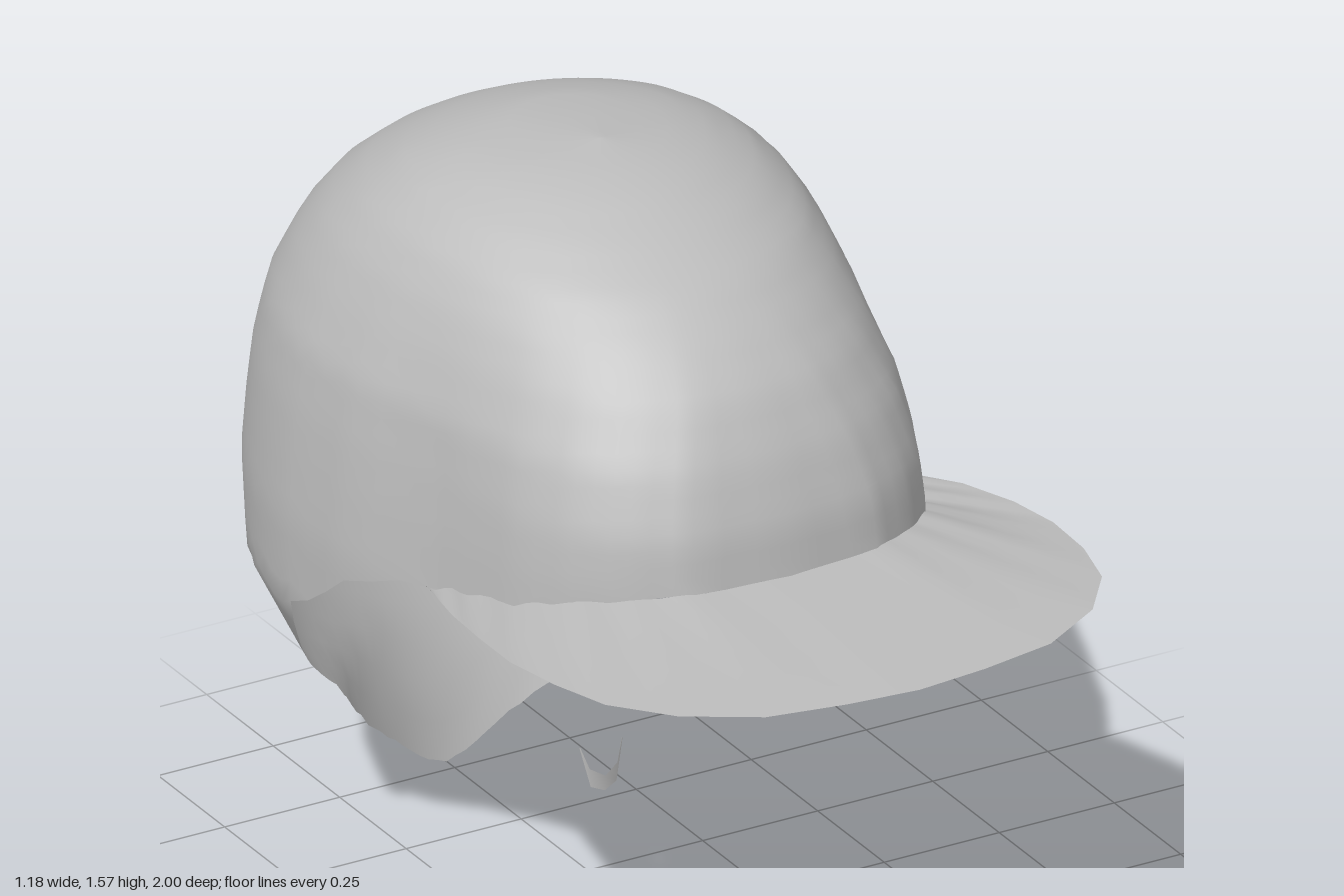
import * as THREE from 'three';
import { mergeVertices } from 'three/addons/utils/BufferGeometryUtils.js';

const { lerp, smoothstep } = THREE.MathUtils;

// Linear lookup in rows sorted by their first number, rising or falling.
function lookup(rows, key) {
  const dir = Math.sign(rows[rows.length - 1][0] - rows[0][0]);
  let i = 0;
  while (i < rows.length - 2 && (key - rows[i + 1][0]) * dir > 0) i++;
  const p = rows[i], q = rows[i + 1];
  const t = Math.min(1, Math.max(0, (key - p[0]) / (q[0] - p[0])));
  return p.map((v, k) => lerp(v, q[k], t));
}

// Point at share t (0 to 1) along an evenly indexed list.
function along(list, t) {
  return lookup(list.map((p, i) => [i / (list.length - 1), ...p]), t).slice(1);
}

// Crown sections: height, half width, front z, back z, z of the widest place
const sections = [
  [1.565, 0, -0.2, -0.2, -0.2],
  [1.55, 0.15, -0.08, -0.42, -0.24],
  [1.53, 0.24, 0, -0.5, -0.27],
  [1.49, 0.33, 0.1, -0.61, -0.29],
  [1.43, 0.4, 0.22, -0.72, -0.31],
  [1.36, 0.45, 0.31, -0.81, -0.34],
  [1.28, 0.49, 0.39, -0.88, -0.36],
  [1.17, 0.535, 0.455, -0.94, -0.37],
  [1.05, 0.555, 0.5, -0.975, -0.38],
  [0.95, 0.565, 0.515, -0.99, -0.38],
  [0.82, 0.575, 0.515, -1, -0.38],
  [0.64, 0.57, 0.515, -0.98, -0.38],
  [0.42, 0.46, 0.515, -0.89, -0.38],
  [0.3, 0.375, 0.515, -0.84, -0.38],
  [0.15, 0.34, 0.515, -0.8, -0.38],
  [0, 0.3, 0.515, -0.78, -0.38],
];

// Front half of a low section: share of the length, share of the half width
const frontCurve = [[0, 1], [0.2, 0.975], [0.43, 0.86], [0.54, 0.825], [0.69, 0.775],
  [0.82, 0.68], [0.91, 0.54], [0.98, 0.35], [1, 0]];

// Lower edge of the crown: angle from the back, height
const rim = [[0, 0], [0.17, 0.02], [0.63, 0.15], [1.02, 0.3], [1.27, 0.42], [1.45, 0.54],
  [1.56, 0.64], [1.7, 0.72], [1.8, 0.79], [1.96, 0.83], [2.36, 0.88], [2.55, 0.92],
  [2.9, 0.95], [Math.PI, 0.95]];

function rimHeight(angle) {
  const a = Math.abs(angle);
  return lookup(rim, a)[1] + 0.006 * Math.sin(a * 37) * Math.sin(a);
}

// Point on the crown; the angle runs from 0 at the back to +-PI at the front.
function crownPoint(angle, y) {
  const [, w, front, back, mid] = lookup(sections, y);
  const a = Math.abs(angle), side = Math.sign(angle);
  if (a <= Math.PI / 2) return [side * w * Math.sin(a), y, mid + (back - mid) * Math.cos(a)];
  const t = Math.min(1, a / (Math.PI / 2) - 1);
  const [s, x] = along(frontCurve, t);
  const round = smoothstep(y, 1, 1.5);
  const sx = lerp(x, Math.cos(t * Math.PI / 2), round);
  const sz = lerp(s, Math.sin(t * Math.PI / 2), round);
  return [side * w * sx, y, lerp(mid, front, sz)];
}

// Welded smooth surface from a function of (u, v) in 0 to 1
function surface(name, material, nu, nv, fn) {
  const position = [], index = [];
  for (let j = 0; j <= nv; j++) {
    for (let i = 0; i <= nu; i++) position.push(...fn(i / nu, j / nv));
  }
  for (let j = 0; j < nv; j++) {
    for (let i = 0; i < nu; i++) {
      const p = j * (nu + 1) + i, q = p + nu + 1;
      index.push(p, p + 1, q, p + 1, q + 1, q);
    }
  }
  let geometry = new THREE.BufferGeometry();
  geometry.setAttribute('position', new THREE.Float32BufferAttribute(position, 3));
  geometry.setIndex(index);
  geometry = mergeVertices(geometry, 1e-5);
  geometry.computeVertexNormals();
  const mesh = new THREE.Mesh(geometry, material);
  mesh.name = name;
  return mesh;
}

export function createModel() {
  const group = new THREE.Group();
  group.name = 'cap';
  const grey = new THREE.MeshStandardMaterial({ color: 0xbcbcbc, side: THREE.DoubleSide });
  grey.name = 'grey cloth';

  // Open crown with the pointed neck flap
  group.add(surface('crown', grey, 96, 32, (u, v) => {
    const angle = (1 - 2 * u) * Math.PI;
    const low = rimHeight(angle);
    return crownPoint(angle, low + (1.565 - low) * Math.sin(v * Math.PI / 2));
  }));

  // Brim between the crown's lower edge and its own outline
  const outline = [[0.495, 0.83, 0], [0.555, 0.87, 0.2], [0.58, 0.89, 0.35], [0.59, 0.9, 0.48],
    [0.575, 0.91, 0.62], [0.54, 0.915, 0.75], [0.45, 0.92, 0.87], [0.31, 0.92, 0.955],
    [0.15, 0.92, 0.985], [0, 0.92, 1]];
  group.add(surface('brim', grey, 54, 4, (u, v) => {
    const side = u < 0.5 ? -1 : 1;
    const t = 1 - Math.abs(2 * u - 1);
    const angle = side * lerp(1.96, Math.PI, t);
    const inner = crownPoint(angle, rimHeight(angle));
    const [x, y, z] = along(outline, t);
    const outer = [side * x, y, z];
    return outer.map((c, k) => lerp(c, inner[k], v));
  }));

  // Small V-shaped chin tab: upper and lower edges meet at the strap tips
  const upper = [[-0.045, 0.29, -0.2], [-0.03, 0.246, -0.19], [0, 0.228, -0.183],
    [0.03, 0.246, -0.19], [0.045, 0.29, -0.2]];
  const lower = [[-0.047, 0.29, -0.2], [-0.028, 0.208, -0.19], [0, 0.196, -0.186],
    [0.028, 0.208, -0.19], [0.047, 0.29, -0.2]];
  group.add(surface('chinTab', grey, 4, 1, (u, v) => along(v ? upper : lower, u)));

  return group;
}
